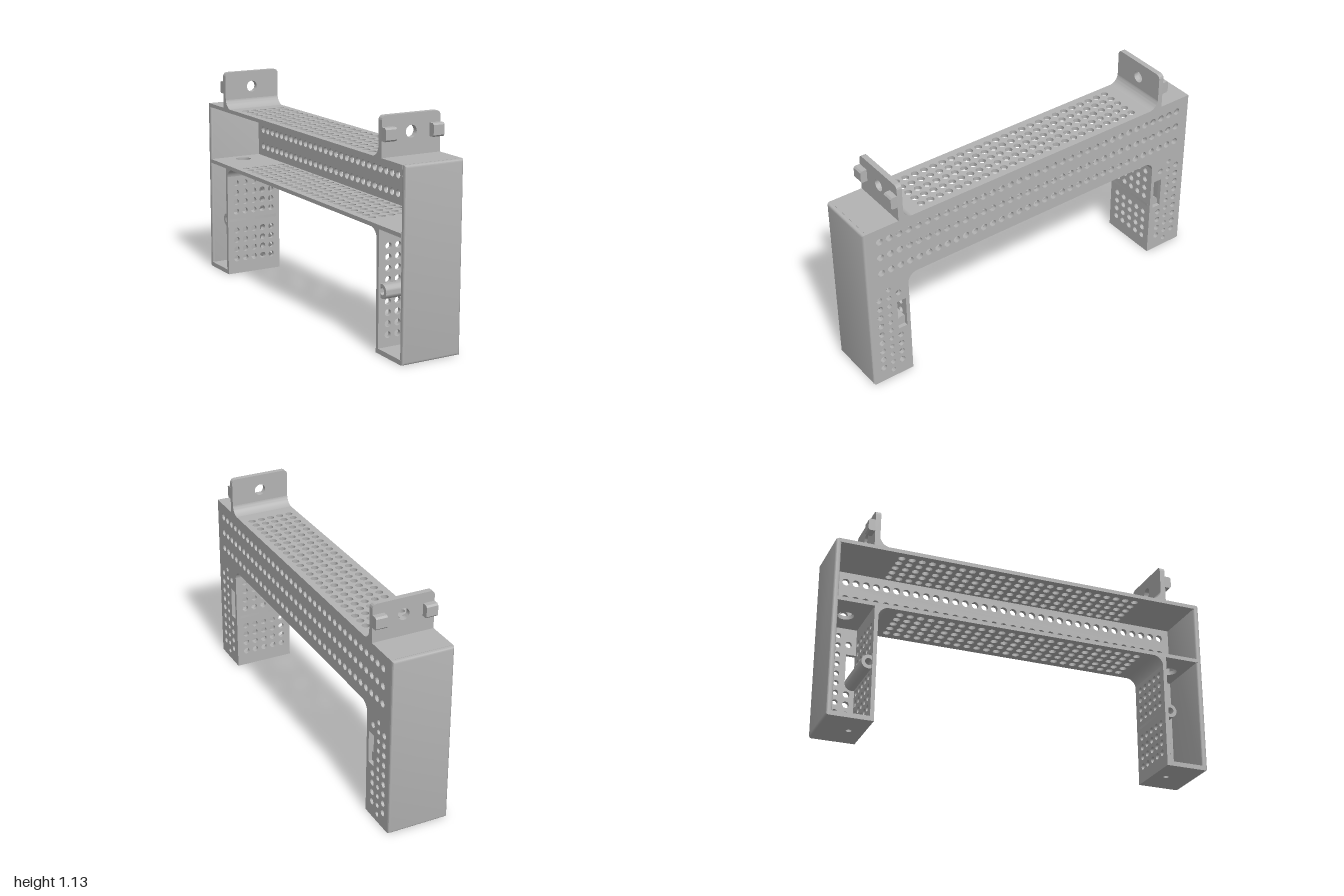
import * as THREE from 'three';
import { toCreasedNormals } from 'three/addons/utils/BufferGeometryUtils.js';

const HALF = 0.16;    // half width in x
const T = 0.02;       // wall thickness
const TOP = 0.935;    // top of the beam
const SHELF = 0.6;    // underside of the beam
const INNER = 0.77;   // inner face of the legs
const PITCH = 0.0538; // spacing of the vent holes
const R = 0.019;

const grey = new THREE.MeshStandardMaterial({ color: 0xb3b3b3 });
grey.name = 'grey plastic';

function mesh(name, geometry) {
  const m = new THREE.Mesh(geometry, grey);
  m.name = name;
  return m;
}

function rect(x0, y0, x1, y1) {
  return new THREE.Shape([[x0, y0], [x1, y0], [x1, y1], [x0, y1]].map(p => new THREE.Vector2(...p)));
}

function addHole(shape, x, y, r = R) {
  const hole = new THREE.Path();
  hole.absarc(x, y, r, 0, Math.PI * 2, true);
  shape.holes.push(hole);
}

function extrude(shape, depth, options = {}) {
  const g = new THREE.ExtrudeGeometry(shape, { depth, bevelEnabled: false, curveSegments: 6, ...options });
  return toCreasedNormals(g, 0.7);
}

// Profile drawn in (-z, y), extruded along x from x0
const alongX = (shape, x0, width) => extrude(shape, width).rotateY(Math.PI / 2).translate(x0, 0, 0);
// Plan drawn in (x, z), extruded downwards from y
const downwards = (shape, y, depth) => extrude(shape, depth).rotateX(Math.PI / 2).translate(0, y, 0);

// Concave corner filler; up = 1 rises from the corner, -1 hangs below it
function fillet(z, y, r, up) {
  const s = new THREE.Shape();
  s.moveTo(-z, y);
  s.lineTo(-z + r, y);
  s.absarc(-z + r, y + up * r, r, -up * Math.PI / 2, up > 0 ? -Math.PI : Math.PI, up > 0);
  return alongX(s, -HALF, 2 * HALF);
}

// Arch-shaped side wall with vent holes and a slot in each leg
function sideWall() {
  const e = 0.985;
  const s = new THREE.Shape([
    [-e, 0], [-INNER, 0], [-INNER, SHELF], [INNER, SHELF], [INNER, 0], [e, 0], [e, TOP], [-e, TOP],
  ].map(p => new THREE.Vector2(...p)));
  for (const y of [0.675, 0.768, 0.861])
    for (let i = -17; i <= 17; i++) addHole(s, i * PITCH, y);
  for (const side of [-1, 1]) {
    for (let i = 0; i < 9; i++) {
      const y = 0.084 + i * PITCH;
      addHole(s, side * 0.938, y, 0.017);
      if (i < 4 || i === 8) addHole(s, side * 0.83, y, 0.017);
    }
    for (let i = 0; i < 11; i++) addHole(s, side * 0.884, 0.043 + i * 0.0514, 0.014);
    const slot = rect(side * 0.815 - 0.025, 0.29, side * 0.815 + 0.025, 0.46);
    s.holes.push(new THREE.Path(slot.getPoints()));
  }
  return alongX(s, HALF - T, T);
}

// Long horizontal panel with five columns of vent holes
function ventPanel(y, wireHoles) {
  const s = rect(-HALF, -0.98, HALF, 0.98);
  for (let i = -12; i <= 12; i++)
    for (let j = -2; j <= 2; j++) addHole(s, j * PITCH, i * PITCH);
  if (wireHoles) for (const z of [-0.89, 0.89]) addHole(s, 0, z, 0.042);
  return downwards(s, y, T);
}

// One end: outer wall, inner leg wall, foot, mounting tab and clips
function createEnd() {
  const end = new THREE.Group();

  const b = 0.014;
  const outer = rect(-HALF + b, b, HALF - b, TOP - b);
  end.add(mesh('outerWall', extrude(outer, 0.002, {
    bevelEnabled: true, bevelSize: b, bevelThickness: b, bevelSegments: 3,
  }).translate(0, 0, 1 - b - 0.002)));

  const inner = rect(-HALF, 0, HALF, SHELF);
  for (let i = 0; i < 9; i++)
    if (i !== 4) for (let j = -2; j <= 2; j++) addHole(inner, j * PITCH, 0.084 + i * PITCH, 0.017);
  end.add(mesh('innerLegWall', extrude(inner, T).translate(0, 0, INNER)));

  const foot = rect(-HALF, INNER, HALF, 0.985);
  addHole(foot, 0, 0.845, 0.015);
  end.add(mesh('foot', downwards(foot, 0.024, 0.024)));

  // Tab with rounded top corners and a screw hole
  const tab = new THREE.Shape();
  const c = 0.022, h = 1.13;
  tab.moveTo(-HALF, TOP - 0.01);
  tab.lineTo(HALF, TOP - 0.01);
  tab.lineTo(HALF, h - c);
  tab.absarc(HALF - c, h - c, c, 0, Math.PI / 2, false);
  tab.absarc(-HALF + c, h - c, c, Math.PI / 2, Math.PI, false);
  addHole(tab, 0, 1.045, 0.03);
  end.add(mesh('mountingTab', extrude(tab, 0.028, { curveSegments: 12 }).translate(0, 0, 0.777)));

  // Chamfered clips on the outside of the tab
  const clip = new THREE.Shape([
    [-0.8, 1.013], [-0.8, 1.077], [-0.832, 1.077], [-0.84, 1.069], [-0.84, 1.021], [-0.832, 1.013],
  ].map(p => new THREE.Vector2(...p)));
  for (const x of [-HALF, 0.1]) end.add(mesh('clip', alongX(clip, x, 0.06)));

  end.add(mesh('tabFillet', fillet(0.778, TOP - 0.001, 0.057, 1)));
  end.add(mesh('legFillet', fillet(INNER + 0.001, SHELF + 0.001, 0.057, -1)));
  return end;
}

// Round peg with a blind screw hole, lying along x
function peg() {
  const profile = [[0, 0], [0.036, 0], [0.036, 0.29], [0.018, 0.29], [0.018, 0.22], [0, 0.22]];
  const g = new THREE.LatheGeometry(profile.map(p => new THREE.Vector2(...p)), 24);
  return toCreasedNormals(g.rotateZ(Math.PI / 2), 0.7);
}

export function createModel() {
  const model = new THREE.Group();
  model.name = 'ventedBracket';
  model.add(mesh('sideWall', sideWall()));
  model.add(mesh('topPanel', ventPanel(TOP, false)));
  model.add(mesh('shelf', ventPanel(SHELF + T, true)));

  for (const side of [1, -1]) {
    const end = createEnd();
    end.name = side > 0 ? 'frontEnd' : 'backEnd';
    if (side < 0) end.rotation.y = Math.PI;
    model.add(end);

    const p = mesh('peg', peg());
    p.position.set(HALF - T, 0.305, side * 0.805);
    model.add(p);
  }
  return model;
}
